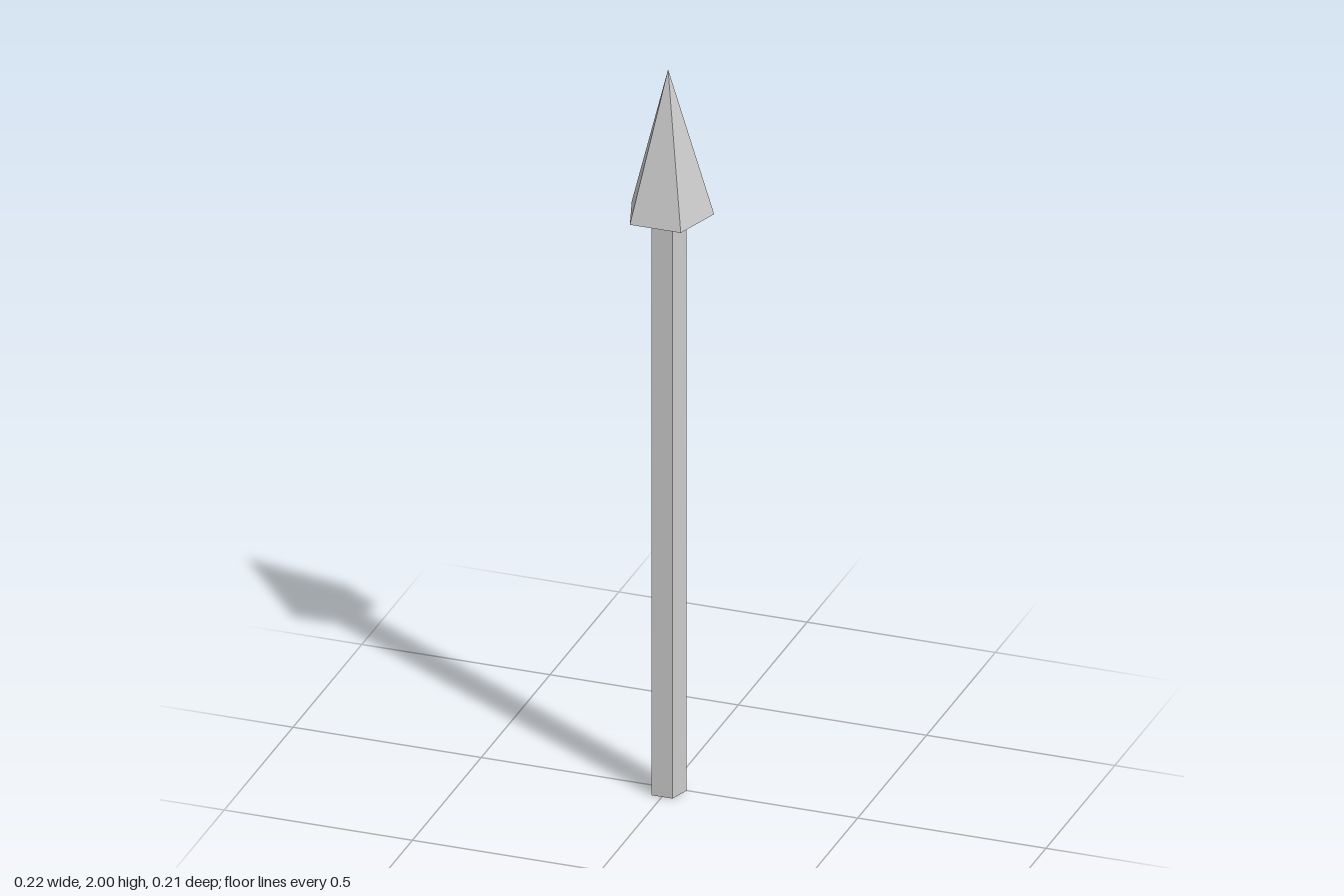
import * as THREE from 'three';

const SIDES = 5;

export function createModel() {
  const group = new THREE.Group();
  const material = new THREE.MeshStandardMaterial({ color: 0xcccccc, flatShading: true });

  // Adds a five-sided part standing on y, with one corner pointing to the back
  function addPart(name, geometry, y, z) {
    geometry.rotateY(Math.PI);
    const mesh = new THREE.Mesh(geometry, material);
    mesh.name = name;
    mesh.position.set(0, y, z);
    group.add(mesh);
  }

  const shaftHeight = 1.6;
  const headHeight = 0.4;

  // Long straight shaft
  addPart('shaft', new THREE.CylinderGeometry(0.048, 0.048, shaftHeight, SIDES), shaftHeight / 2, 0.016);

  // Pointed head with a closed underside
  addPart('head', new THREE.ConeGeometry(0.115, headHeight, SIDES), shaftHeight + headHeight / 2, 0.01);

  return group;
}
